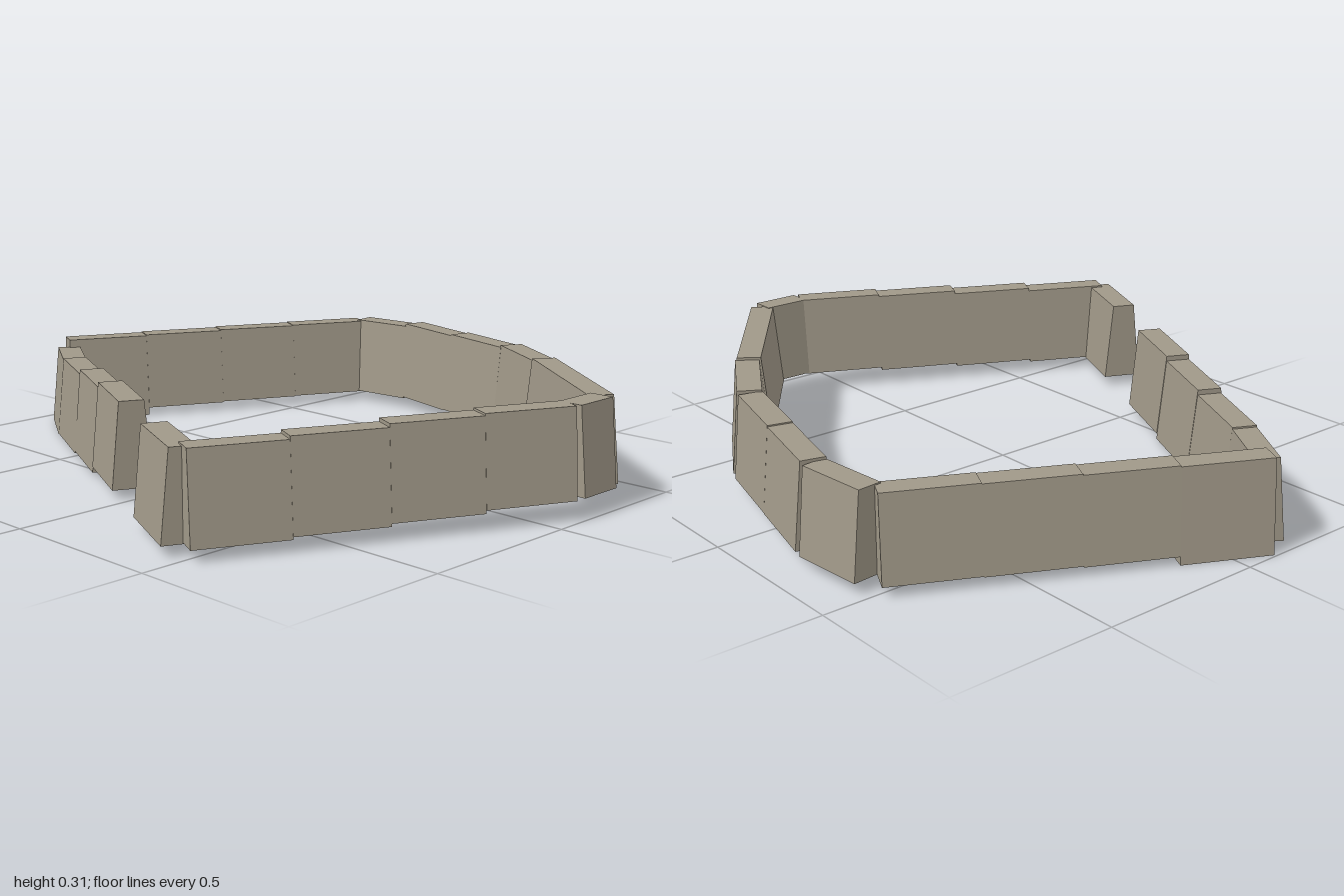
import * as THREE from 'three';

const BASE = 0.12, TOP = 0.072; // wall thickness at foot and crown

// Straight wall block between two ground points, tapering towards the top
function wallBlock(name, [x0, z0], [x1, z1], y0, y1, material) {
  const length = Math.hypot(x1 - x0, z1 - z0);
  const geo = new THREE.BoxGeometry(length, y1 - y0, BASE);
  const p = geo.attributes.position;
  for (let i = 0; i < p.count; i++) {
    if (p.getY(i) > 0) p.setZ(i, p.getZ(i) * TOP / BASE);
  }
  geo.computeVertexNormals();
  const mesh = new THREE.Mesh(geo, material);
  mesh.name = name;
  mesh.position.set((x0 + x1) / 2, (y0 + y1) / 2, (z0 + z1) / 2);
  mesh.rotation.y = -Math.atan2(z1 - z0, x1 - x0);
  return mesh;
}

export function createModel() {
  const stone = new THREE.MeshStandardMaterial({ color: 0xa09888 });
  stone.name = 'stone';
  const model = new THREE.Group();
  model.name = 'ringWall';

  // Each run is a straight line split into equal blocks, one [bottom, top] per block
  const runs = [
    ['frontWallCorner', [-0.92, 0.14], [-0.73, 0.26], [[0, 0.245]]],
    ['frontWall', [-0.735, 0.257], [-0.01, 0.61], [[0.003, 0.25], [0.01, 0.265], [0.028, 0.28]]],
    ['rightWall', [-0.94, 0.13], [-0.47, -0.81], [[0, 0.27], [0.025, 0.273], [0.028, 0.276], [0.03, 0.278]]],
    ['backWallCorner', [-0.46, -0.82], [-0.24, -0.84], [[0.032, 0.282]]],
    ['backWall', [-0.24, -0.84], [0.275, -0.71], [[0.038, 0.29], [0.04, 0.294]]],
    ['backWallBend', [0.28, -0.71], [0.52, -0.57], [[0.047, 0.3]]],
    ['backWallSlant', [0.51, -0.57], [0.93, -0.26], [[0.055, 0.308]]],
    ['leftWallCorner', [0.935, -0.255], [0.935, -0.11], [[0.06, 0.31]]],
    ['leftWall', [0.935, -0.11], [0.475, 0.845], [[0.057, 0.31], [0.048, 0.304], [0.04, 0.294], [0.033, 0.285]]],
    ['gateWall', [0.23, 0.73], [0.47, 0.84], [[0.03, 0.28]]],
  ];

  for (const [name, a, b, heights] of runs) {
    const run = new THREE.Group();
    run.name = name;
    const at = t => [a[0] + (b[0] - a[0]) * t, a[1] + (b[1] - a[1]) * t];
    heights.forEach(([y0, y1], i) => {
      const n = heights.length;
      run.add(wallBlock(`${name}Block${i + 1}`, at(i / n), at((i + 1) / n), y0, y1, stone));
    });
    model.add(run);
  }
  return model;
}
